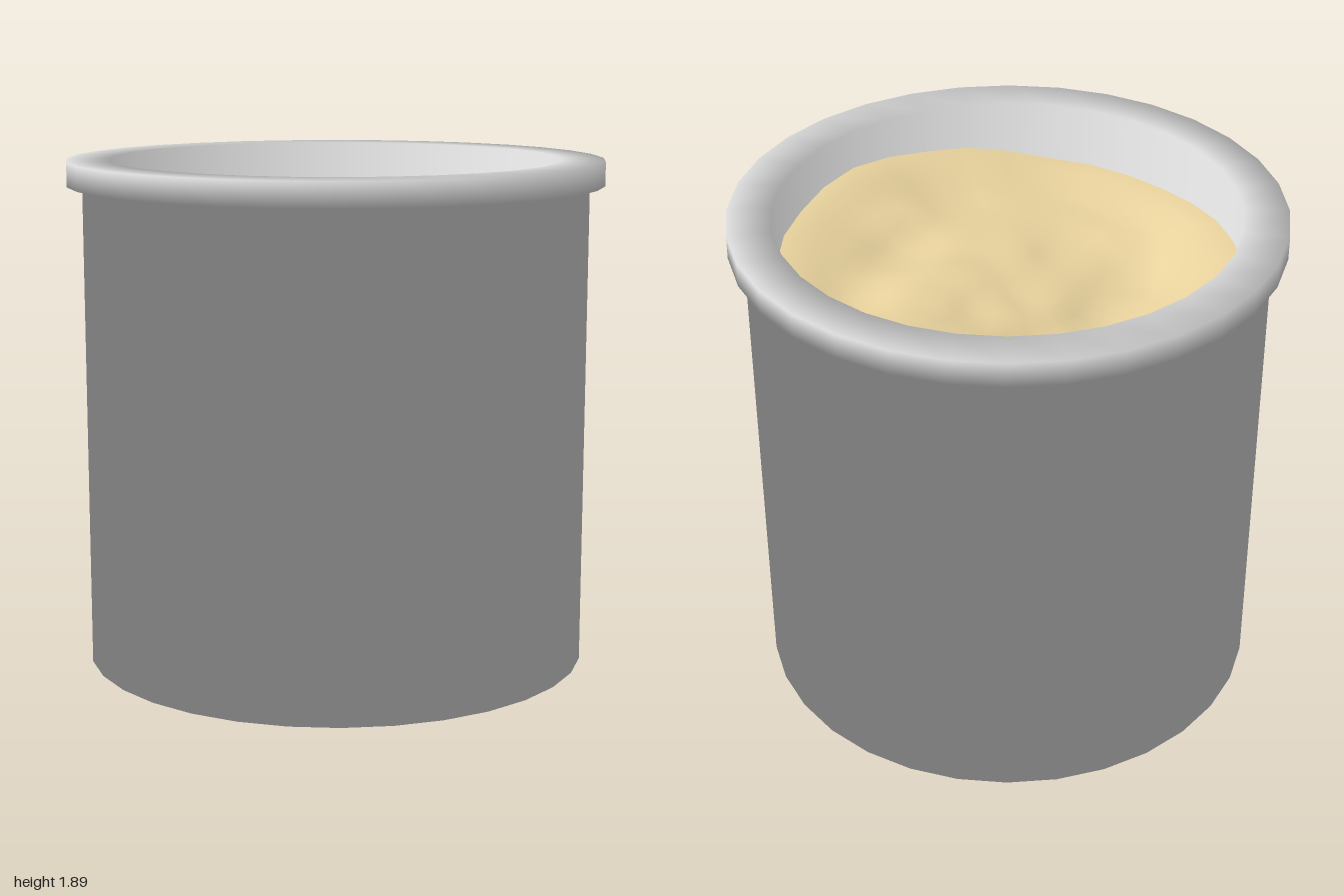
import * as THREE from 'three';

const SEGMENTS = 32;
const INNER_RADIUS = 0.84;
const SAND_RADIUS = 0.865;

// Sand height along the wall, every 30 degrees from the front towards +x
const EDGE = [1.74, 1.69, 1.62, 1.59, 1.76, 1.68, 1.72, 1.71, 1.67, 1.65, 1.66, 1.71];

// Sand surface inside the wall: x, z, height
const DUNES = [
  // hollow at the back
  [-0.55, -0.45, 1.62], [-0.3, -0.6, 1.6], [0, -0.65, 1.6], [0.2, -0.6, 1.58],
  [-0.35, -0.3, 1.53], [-0.1, -0.4, 1.52], [0.15, -0.4, 1.54], [-0.6, 0, 1.59],
  [-0.35, 0, 1.57], [0, -0.15, 1.58], [0.2, -0.12, 1.6], [0.45, -0.3, 1.61],
  // ridge across the middle
  [0.62, -0.42, 1.68], [0.68, -0.14, 1.69], [0.52, -0.04, 1.65], [0.35, 0.07, 1.63],
  [0.16, 0.17, 1.62], [-0.13, 0.2, 1.6], [-0.5, 0.35, 1.61],
  // rise towards the front
  [0.15, 0.4, 1.58], [-0.2, 0.45, 1.62], [0.5, 0.3, 1.57], [0, 0.62, 1.67],
  [0.35, 0.58, 1.64], [-0.45, 0.55, 1.66],
];

function edgeHeight(angle) {
  const t = (angle / (Math.PI * 2)) * EDGE.length;
  const i = Math.floor(t);
  const f = THREE.MathUtils.smoothstep(t - i, 0, 1);
  return THREE.MathUtils.lerp(EDGE[i % EDGE.length], EDGE[(i + 1) % EDGE.length], f);
}

// Distance-weighted blend of the dunes, meeting the edge height at the wall
function sandHeight(x, z, r, angle) {
  let sum = 0, total = 0;
  for (const [px, pz, h] of DUNES) {
    const weight = 1 / ((x - px) ** 2 + (z - pz) ** 2 + 0.006) ** 2;
    sum += h * weight;
    total += weight;
  }
  const k = THREE.MathUtils.smoothstep(r, 0.58, INNER_RADIUS);
  return THREE.MathUtils.lerp(sum / total, edgeHeight(angle), k);
}

// Polar grid with shared vertices for a smooth, uneven surface
function sandGeometry(rings = 18) {
  const positions = [0, sandHeight(0, 0, 0, 0), 0];
  const index = [];
  for (let j = 1; j <= rings; j++) {
    const r = (SAND_RADIUS * j) / rings;
    for (let i = 0; i < SEGMENTS; i++) {
      const a = (i / SEGMENTS) * Math.PI * 2;
      const x = r * Math.sin(a), z = r * Math.cos(a);
      positions.push(x, sandHeight(x, z, r, a), z);
      const next = (i + 1) % SEGMENTS;
      const outer = 1 + (j - 1) * SEGMENTS;
      if (j === 1) {
        index.push(0, outer + i, outer + next);
      } else {
        const inner = outer - SEGMENTS;
        index.push(inner + i, outer + i, outer + next, inner + i, outer + next, inner + next);
      }
    }
  }
  const geometry = new THREE.BufferGeometry();
  geometry.setAttribute('position', new THREE.Float32BufferAttribute(positions, 3));
  geometry.setIndex(index);
  geometry.computeVertexNormals();
  return geometry;
}

// Lathe whose corner normals lean equally between the two faces that meet:
// each profile row is radius, height, outward normal, upward normal
function softLathe(rows) {
  const geometry = new THREE.LatheGeometry(rows.map(([r, y]) => new THREE.Vector2(r, y)), SEGMENTS);
  const normal = geometry.attributes.normal;
  for (let i = 0; i <= SEGMENTS; i++) {
    const a = (i / SEGMENTS) * Math.PI * 2;
    rows.forEach(([, , out, up], j) => {
      const length = Math.hypot(out, up);
      normal.setXYZ(i * rows.length + j,
        (out * Math.sin(a)) / length, up / length, (out * Math.cos(a)) / length);
    });
  }
  return geometry;
}

export function createModel() {
  const group = new THREE.Group();
  group.name = 'sandBucket';

  const lightGrey = new THREE.MeshStandardMaterial({ color: 0xd6d6d6 });
  lightGrey.name = 'light grey';
  const sandColour = new THREE.MeshStandardMaterial({ color: 0xe8d29d });
  sandColour.name = 'sand';

  // Floor, outer wall, rim and inner wall as one soft profile
  const bucket = new THREE.Mesh(softLathe([
    [0, 0, 0, -1],
    [0.944, 0, 1, -1],
    [0.944, 1.8, 1, -1],
    [1, 1.8, 1, -1],
    [1, 1.89, 1, 1],
    [INNER_RADIUS, 1.89, -1, 1],
    [INNER_RADIUS, 0.1, -1, 1],
    [0, 0.1, 0, 1],
  ]), lightGrey);
  bucket.name = 'bucket';
  group.add(bucket);

  // Sand filling, its edge tucked into the wall
  const sand = new THREE.Mesh(sandGeometry(), sandColour);
  sand.name = 'sandFilling';
  group.add(sand);

  return group;
}
